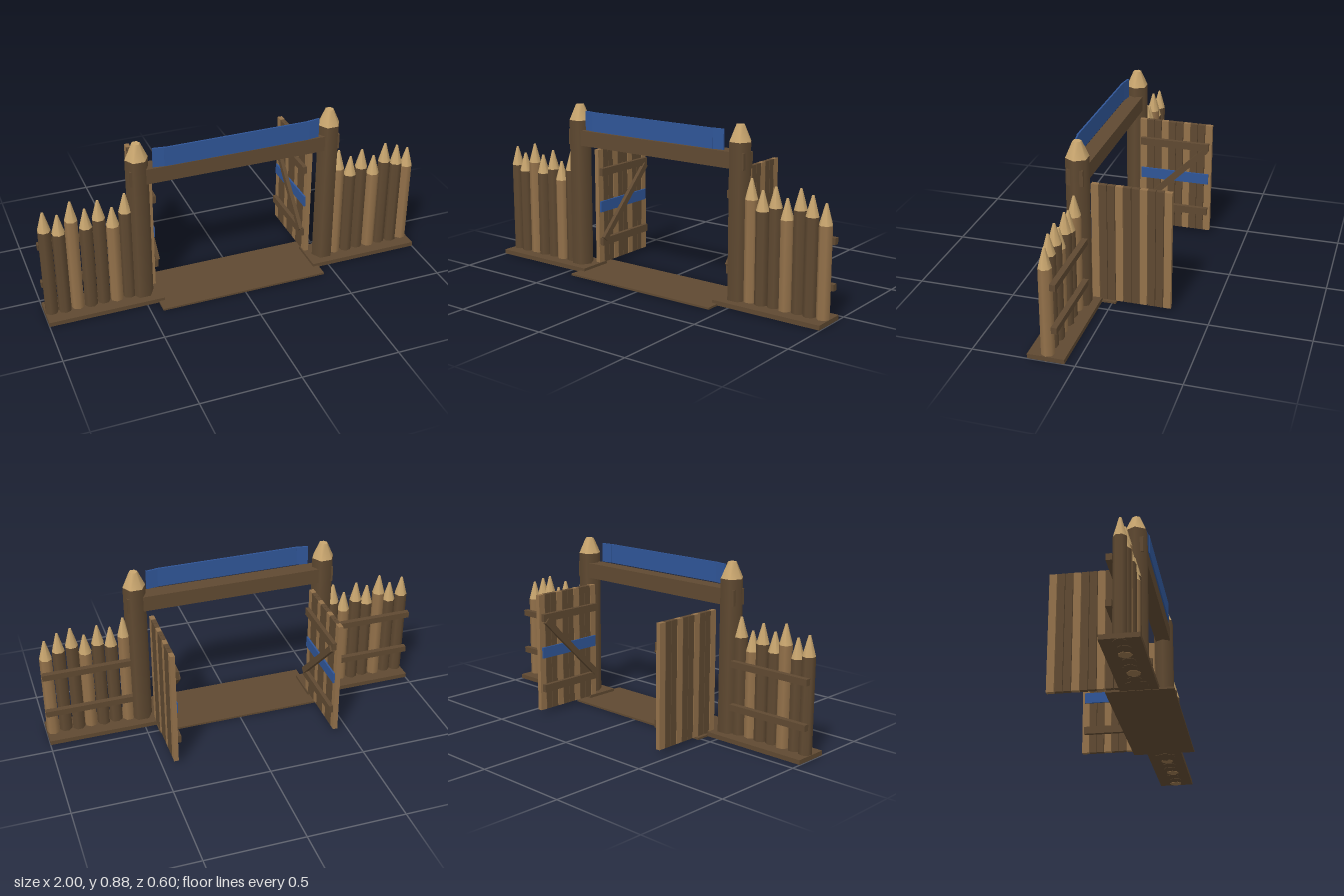
import * as THREE from 'three';

const material = (name, color, side = THREE.FrontSide) => {
  const m = new THREE.MeshStandardMaterial({ color, side });
  m.name = name;
  return m;
};

export function createModel() {
  const darkWood = material('dark wood', 0x5f4931);
  const lightWood = material('light wood', 0x93714a);
  const cutWood = material('cut wood', 0xc8a56e);
  const blue = material('blue paint', 0x2f5597);

  const root = new THREE.Group();
  root.name = 'palisadeGate';

  function add(parent, name, geometry, mat) {
    const mesh = new THREE.Mesh(geometry, mat);
    mesh.name = name;
    parent.add(mesh);
    return mesh;
  }

  // box given by its min and max on each axis
  function box(parent, name, mat, x0, x1, y0, y1, z0, z1) {
    const [a, b] = [Math.min(x0, x1), Math.max(x0, x1)];
    const mesh = add(parent, name, new THREE.BoxGeometry(b - a, y1 - y0, z1 - z0), mat);
    mesh.position.set((a + b) / 2, (y0 + y1) / 2, (z0 + z1) / 2);
    return mesh;
  }

  // log with a sharpened, blunt-ended point
  function stake(parent, name, mat, x, z, r, tipR, shoulder, top, sides, turn) {
    const g = new THREE.Group();
    g.name = name;
    g.position.set(x, 0, z);
    g.rotation.y = turn;
    add(g, name + 'Body', new THREE.CylinderGeometry(r, r, shoulder, sides), mat).position.y = shoulder / 2;
    add(g, name + 'Point', new THREE.CylinderGeometry(tipR, r, top - shoulder, sides), cutWood)
      .position.y = (shoulder + top) / 2;
    parent.add(g);
  }

  // path through the gate and the lintel tying the posts together
  box(root, 'threshold', darkWood, -0.44, 0.44, 0, 0.01, -0.02, 0.3);
  box(root, 'lintel', darkWood, -0.545, 0.545, 0.67, 0.75, 0.1, 0.18);

  // blue board above the lintel, with its ends folded back
  const board = new THREE.Group();
  board.name = 'signBoard';
  root.add(board);
  box(board, 'boardCentre', blue, -0.375, 0.375, 0.755, 0.855, 0.177, 0.186);
  for (const s of [-1, 1]) {
    const end = box(board, 'boardEnd', blue, s * 0.37, s * 0.43, 0.755, 0.855, 0.171, 0.18);
    end.rotation.y = s * 0.14;
  }

  // log heights from the post outward, and which ones are light
  const fences = {
    '-1': { tops: [0.62, 0.56, 0.61, 0.58, 0.63, 0.575, 0.6], light: [1, 4] },
    '1': { tops: [0.63, 0.585, 0.61, 0.565, 0.62, 0.6, 0.57], light: [0, 3, 6] },
  };

  for (const s of [-1, 1]) {
    const side = s > 0 ? 'left' : 'right';

    // fence: footing, logs and back rails
    const fence = new THREE.Group();
    fence.name = side + 'Fence';
    root.add(fence);
    box(fence, 'footing', darkWood, s * 0.41, s, 0.002, 0.025, 0.05, 0.23);
    const { tops, light } = fences[s];
    tops.forEach((top, i) => {
      stake(fence, 'log', light.includes(i) ? lightWood : darkWood, s * (0.568 + i * 0.0665),
        0.141 + (i % 2 ? 0.004 : -0.002), 0.033, 0.006, top - 0.1, top, 7, i * 0.7);
    });
    for (const y of [0.17, 0.39]) {
      box(fence, 'rail', darkWood, s * 0.55, s, y - 0.016, y + 0.016, 0.081, 0.109);
    }

    // gate post
    stake(root, side + 'GatePost', darkWood, s * 0.5, 0.14, 0.0577, 0.022, 0.8, 0.88, 6, Math.PI / 6);

    // open door: planks, battens, blue stripe and diagonal brace
    const door = new THREE.Group();
    door.name = side + 'Door';
    root.add(door);
    for (let i = 0; i < 10; i++) {
      const z = 0.08 - i * 0.04;
      box(door, 'plank', i % 3 ? darkWood : lightWood, s * 0.416, s * 0.44, 0.02, 0.64, z - 0.0185, z + 0.0185);
    }
    for (const y of [0.14, 0.52]) {
      box(door, 'batten', darkWood, s * 0.395, s * 0.416, y - 0.02, y + 0.02, -0.285, 0.09);
    }
    box(door, 'stripe', blue, s * 0.407, s * 0.416, 0.302, 0.36, -0.285, 0.09);
    const dz = -0.35, dy = 0.35;
    const brace = add(door, 'brace', new THREE.BoxGeometry(0.02, 0.032, Math.hypot(dz, dy)), darkWood);
    brace.position.set(s * 0.397, 0.33, -0.095);
    brace.rotation.x = Math.atan2(dy, -dz);
  }
  return root;
}
